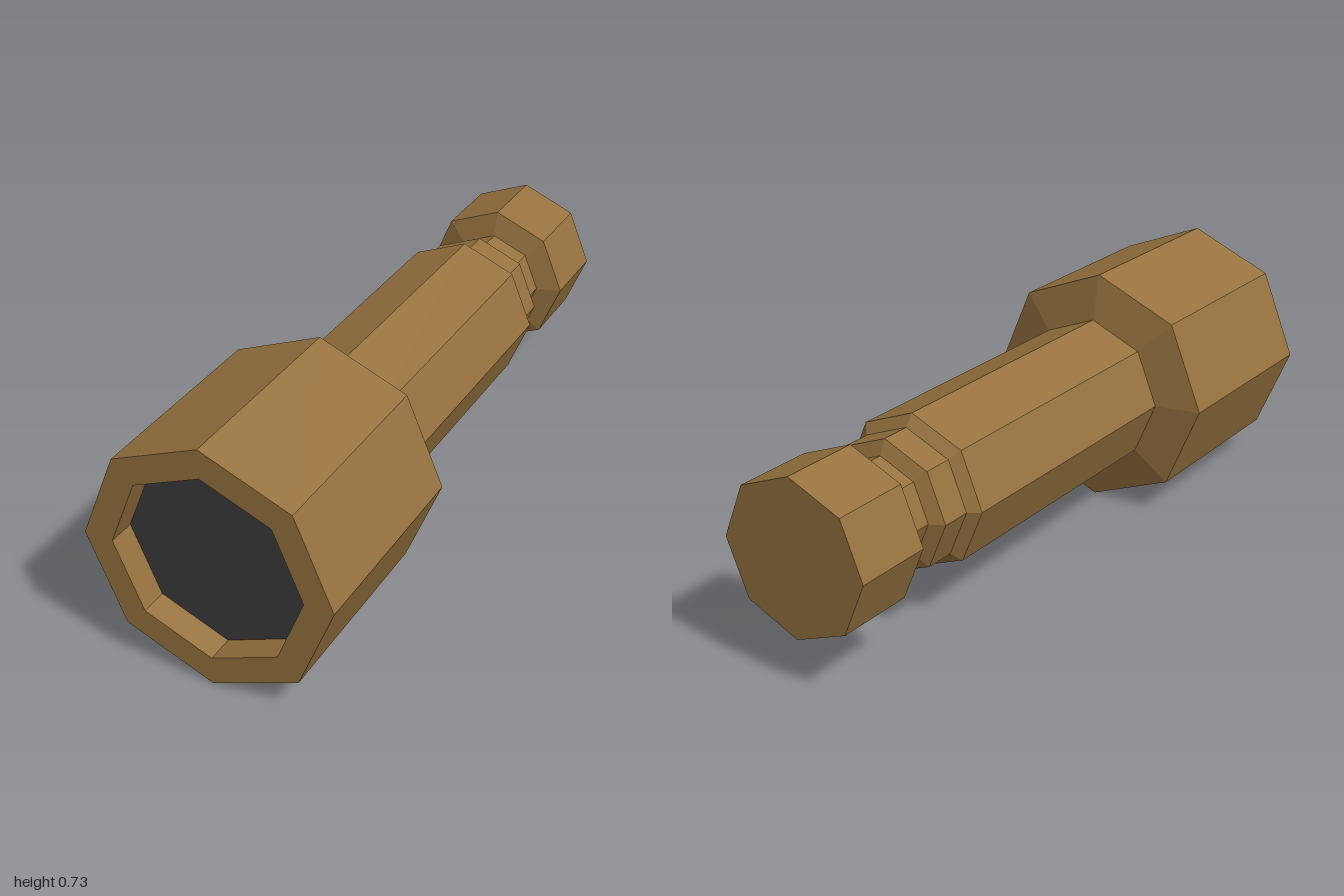
import * as THREE from 'three';

const SIDES = 8;
const AXIS_Y = 0.366;

// Turned part along z from [radius, z] pairs, listed back to front
function turned(name, profile, material) {
  const points = profile.map(([r, z]) => new THREE.Vector2(r, z));
  const geometry = new THREE.LatheGeometry(points, SIDES).rotateX(Math.PI / 2);
  const mesh = new THREE.Mesh(geometry, material);
  mesh.name = name;
  mesh.position.y = AXIS_Y;
  return mesh;
}

export function createModel() {
  const group = new THREE.Group();
  group.name = 'flashlight';
  const metal = new THREE.MeshStandardMaterial({ color: 0x96723f, flatShading: true });
  const glass = new THREE.MeshStandardMaterial({ color: 0x3a3a3a, flatShading: true });

  // Tail cap, stepped neck and long grip
  group.add(turned('handle', [
    [0, -1], [0.23, -1], [0.23, -0.765], [0.155, -0.745], [0.155, -0.65],
    [0.197, -0.63], [0.197, -0.54], [0.23, -0.515], [0.23, 0.37],
  ], metal));

  // Wide head with bevelled back, front rim and inner recess wall
  group.add(turned('head', [
    [0.23, 0.37], [0.366, 0.4], [0.366, 1], [0.281, 1], [0.281, 0.92],
  ], metal));

  // Dark lens set into the recess
  const lens = new THREE.Mesh(new THREE.CircleGeometry(0.281, SIDES), glass);
  lens.name = 'lens';
  lens.position.set(0, AXIS_Y, 0.92);
  group.add(lens);

  return group;
}
